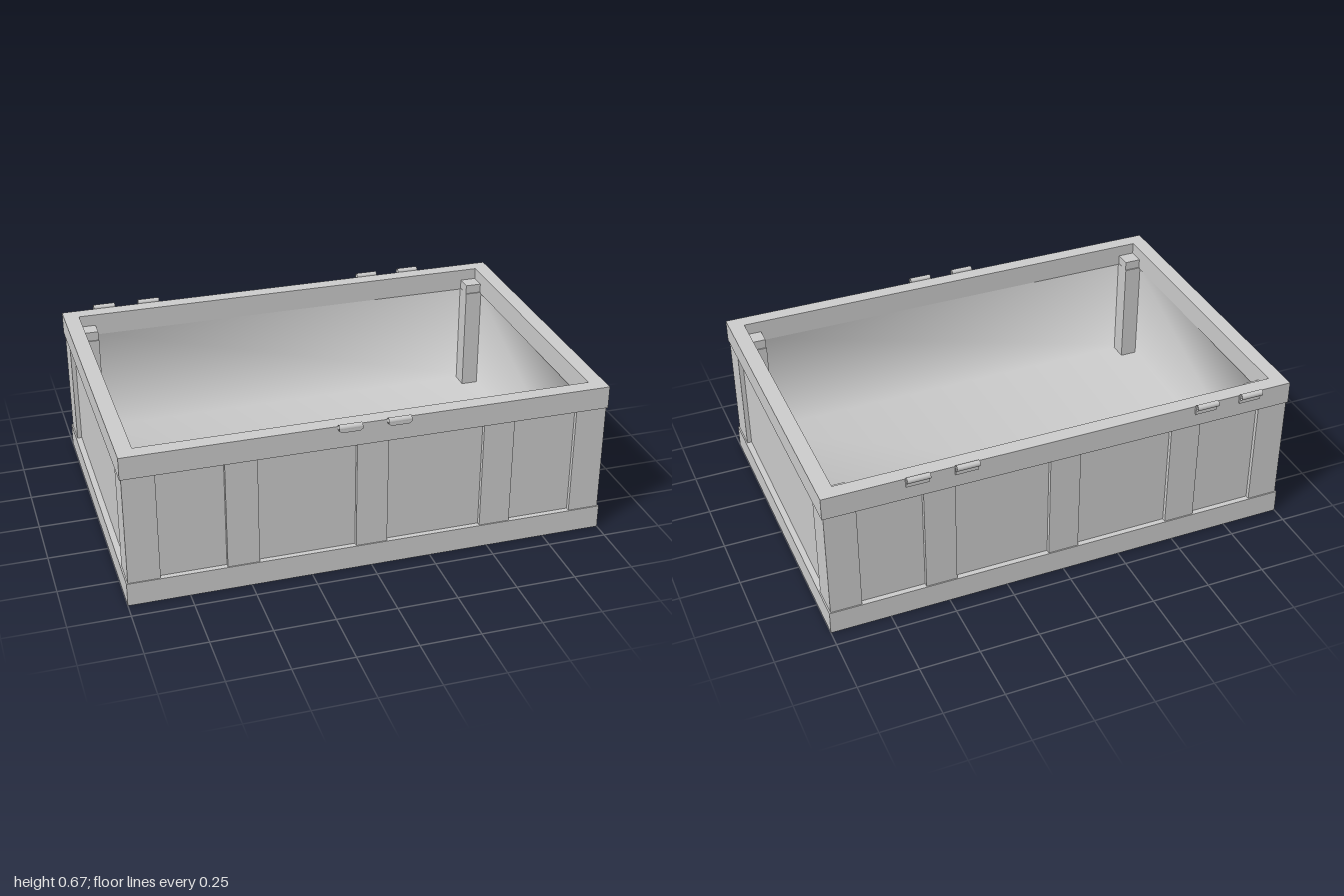
import * as THREE from 'three';
import { mergeVertices } from 'three/addons/utils/BufferGeometryUtils.js';

const HX = 1, HZ = 0.678; // half extents of the crate

export function createModel() {
  const crate = new THREE.Group();
  crate.name = 'crate';
  const mat = new THREE.MeshStandardMaterial({ color: 0xcccccc });
  const thin = new THREE.MeshStandardMaterial({ color: 0xcccccc, side: THREE.DoubleSide });

  const add = (name, geo, x = 0, y = 0, z = 0, parent = crate, material = mat) => {
    const mesh = new THREE.Mesh(geo, material);
    mesh.name = name;
    mesh.position.set(x, y, z);
    parent.add(mesh);
    return mesh;
  };
  const box = (name, x0, x1, y0, y1, z0, z1, parent) =>
    add(name, new THREE.BoxGeometry(x1 - x0, y1 - y0, z1 - z0),
      (x0 + x1) / 2, (y0 + y1) / 2, (z0 + z1) / 2, parent);

  // Rectangular ring standing between two heights
  const rect = (path, x, z) => path.moveTo(-x, -z).lineTo(x, -z).lineTo(x, z).lineTo(-x, z).closePath();
  const ring = (name, ox, oz, ix, iz, y0, y1) => {
    const shape = rect(new THREE.Shape(), ox, oz);
    shape.holes.push(rect(new THREE.Path(), ix, iz));
    const geo = new THREE.ExtrudeGeometry(shape, { depth: y1 - y0, bevelEnabled: false });
    geo.rotateX(-Math.PI / 2);
    add(name, geo, 0, y0, 0);
  };
  ring('bottomBand', HX, HZ, 0.94, 0.618, 0, 0.1);
  ring('topBand', HX, HZ, 0.935, 0.615, 0.565, 0.66);
  ring('wallPanels', 0.975, 0.655, 0.94, 0.62, 0.09, 0.575);
  box('basePlate', -0.945, 0.945, 0.01, 0.09, -0.623, 0.623);

  // Inner lining: open box seen from inside, with softly blended corners
  const lining = new THREE.BoxGeometry(1.876, 0.49, 1.236);
  const kept = Array.from(lining.index.array).filter((v, i) => i < 12 || i >= 18); // no lid
  for (let i = 0; i < kept.length; i += 3) [kept[i], kept[i + 1]] = [kept[i + 1], kept[i]];
  lining.setIndex(kept);
  lining.deleteAttribute('normal');
  lining.deleteAttribute('uv');
  const softLining = mergeVertices(lining);
  softLining.computeVertexNormals();
  add('innerLining', softLining, 0, 0.345, 0);

  for (const sx of [-1, 1]) {
    for (const sz of [-1, 1]) {
      // Outer corner posts and the square posts inside the crate
      const outer = new THREE.Group();
      outer.name = 'cornerPost';
      crate.add(outer);
      add('cornerPost', new THREE.BoxGeometry(0.13, 0.475, 0.133), sx * 0.929, 0.3325, sz * 0.6065, outer);
      add('innerPost', new THREE.BoxGeometry(0.07, 0.51, 0.07), sx * 0.9, 0.355, sz * 0.58);
    }
  }

  // Battens on the long sides
  for (const sz of [-1, 1])
    for (const x of [-0.53, 0, 0.53])
      add('batten', new THREE.BoxGeometry(0.13, 0.475, 0.03), x, 0.3325, sz * 0.658);

  // Rolled hinge knuckle, open at the ends
  const knuckle = new THREE.CylinderGeometry(0.0125, 0.0125, 0.095, 16, 1, true).rotateZ(Math.PI / 2);

  for (const x of [-0.81, -0.61, 0.42, 0.62]) {
    const hinge = new THREE.Group();
    hinge.name = 'backHinge';
    crate.add(hinge);
    add('hingeKnuckle', knuckle, x, 0.66, -0.692, hinge, thin);
    box('hingeLeaf', x - 0.0475, x + 0.0475, 0.625, 0.658, -0.686, -0.676, hinge);
  }

  // Front catches with a narrower tapered lip
  const lip = new THREE.Shape([[-0.0475, 0.016], [-0.0475, 0.008], [-0.036, 0], [0.036, 0], [0.0475, 0.008], [0.0475, 0.016]]
    .map(([a, b]) => new THREE.Vector2(a, b)));
  for (const x of [-0.1, 0.1]) {
    const latch = new THREE.Group();
    latch.name = 'frontCatch';
    crate.add(latch);
    add('catchKnuckle', knuckle, x, 0.66, 0.692, latch, thin);
    add('catchLip', new THREE.ExtrudeGeometry(lip, { depth: 0.006, bevelEnabled: false }), x, 0.643, 0.698, latch);
  }
  return crate;
}
